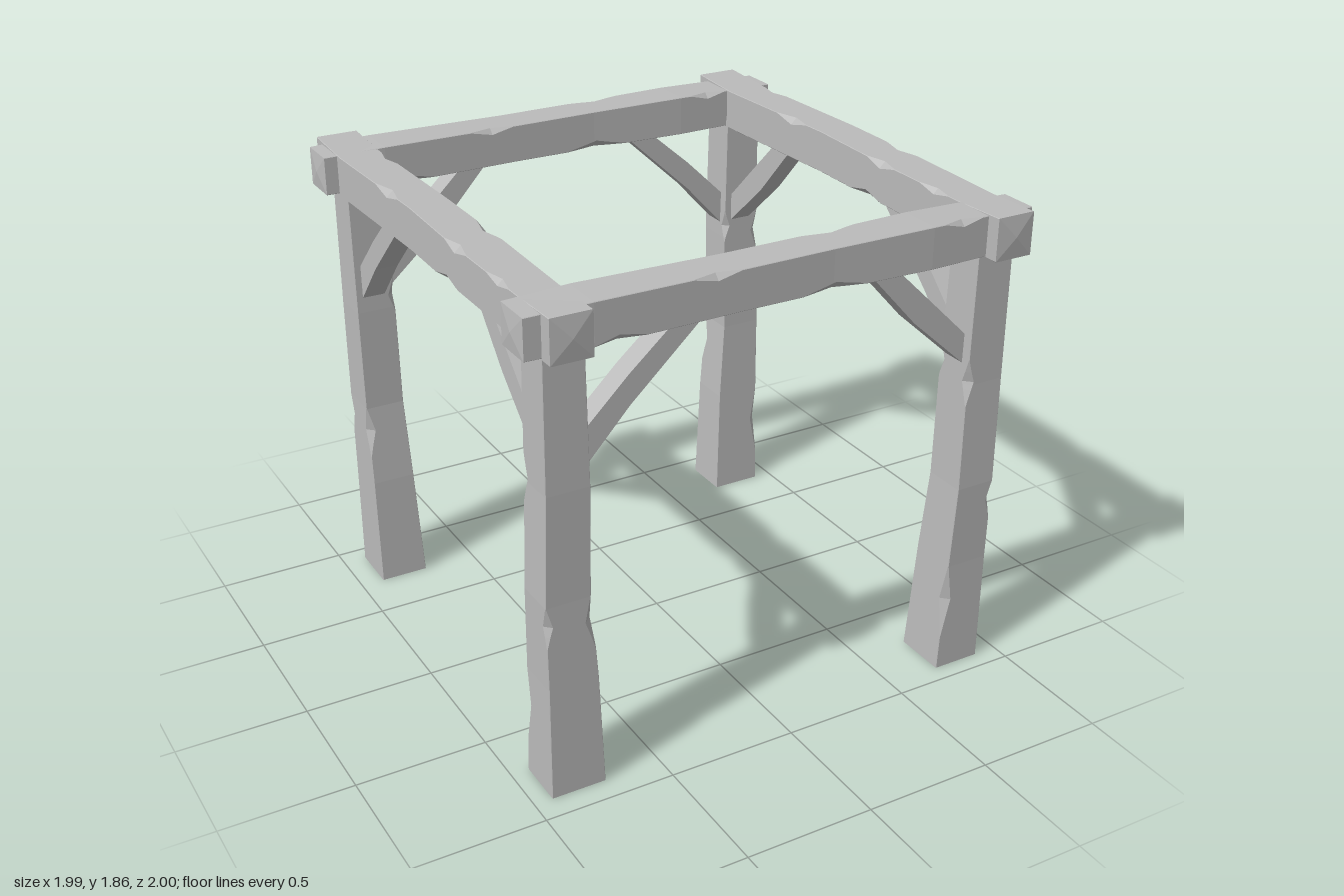
import * as THREE from 'three';

const wood = new THREE.MeshStandardMaterial({ color: 0xbbbbbb });
wood.name = 'plain timber';

// Hewn timber: rectangular sections [t, u0, u1, v0, v1] along an axis,
// with chips [t, corner, size, halfLength] cut out of its long edges.
// Axis order (t, u, v) is cyclic: x = xyz, y = yzx, z = zxy.
function timber(name, axis, profile, chips, bulge = 0) {
  const ts = profile.map(p => p[0]);
  for (const [t, , , h] of chips) ts.push(t - h, t - h * 0.15, t, t + h);
  ts.sort((a, b) => a - b);
  const place = (t, u, v) => axis === 'x' ? [t, u, v] : axis === 'y' ? [v, t, u] : [u, v, t];

  const sectionAt = t => {
    let k = 0;
    while (k < profile.length - 2 && t > profile[k + 1][0]) k++;
    const a = profile[k], b = profile[k + 1];
    const f = (t - a[0]) / (b[0] - a[0]);
    const [u0, u1, v0, v1] = [1, 2, 3, 4].map(i => a[i] + (b[i] - a[i]) * f);
    const c = [0, 1, 2, 3].map(corner => chips.reduce((m, [ct, cc, size, h]) =>
      cc === corner ? Math.max(m, size * (1 - Math.abs(t - ct) / h)) : m, 0.002));
    return [
      [u0, v0 + c[0]], [u0 + c[0], v0], [u1 - c[1], v0], [u1, v0 + c[1]],
      [u1, v1 - c[2]], [u1 - c[2], v1], [u0 + c[3], v1], [u0, v1 - c[3]],
    ].map(([u, v]) => place(t, u, v));
  };

  const rings = ts.map(sectionAt), pos = [];
  const tri = (a, b, c) => pos.push(...a, ...b, ...c);
  for (let i = 0; i < rings.length - 1; i++) {
    if (ts[i + 1] - ts[i] < 1e-6) continue;
    for (let j = 0; j < 8; j++) {
      const k = (j + 1) % 8;
      tri(rings[i][j], rings[i][k], rings[i + 1][k]);
      tri(rings[i][j], rings[i + 1][k], rings[i + 1][j]);
    }
  }
  // end grain, slightly pointed when bulge > 0
  const tip = (p, d) => place(p[0] + d, (p[1] + p[2]) / 2, (p[3] + p[4]) / 2);
  const start = tip(profile[0], -bulge), end = tip(profile[profile.length - 1], bulge);
  const last = rings[rings.length - 1];
  for (let j = 0; j < 8; j++) {
    const k = (j + 1) % 8;
    tri(start, rings[0][k], rings[0][j]);
    tri(end, last[j], last[k]);
  }
  const geo = new THREE.BufferGeometry();
  geo.setAttribute('position', new THREE.Float32BufferAttribute(pos, 3));
  geo.computeVertexNormals();
  const mesh = new THREE.Mesh(geo, wood);
  mesh.name = name;
  return mesh;
}

// Diagonal brace: flat outline given thickness under the beam
function brace(name, points) {
  const shape = new THREE.Shape(points.map(p => new THREE.Vector2(...p)));
  const geo = new THREE.ExtrudeGeometry(shape, { depth: 0.09, bevelEnabled: false });
  geo.translate(0, 0, 0.795);
  const mesh = new THREE.Mesh(geo, wood);
  mesh.name = name;
  return mesh;
}

export function createModel() {
  const model = new THREE.Group();
  model.name = 'timberFrame';

  // Four corners: flared post and the two braces of one side
  for (let i = 0; i < 4; i++) {
    const corner = new THREE.Group();
    corner.name = 'corner' + (i + 1);
    corner.add(timber('post', 'y', [
      [0, 0.715, 0.907, -0.93, -0.72],
      [0.45, 0.735, 0.907, -0.93, -0.74],
      [0.78, 0.748, 0.907, -0.935, -0.765],
      [1.2, 0.755, 0.912, -0.925, -0.762],
      [1.72, 0.762, 0.912, -0.923, -0.773],
    ], [
      [0.3, 0, 0.03, 0.16],
      [0.68, 2, 0.03, 0.11],
      [0.7, 1, 0.025, 0.08],
      [1.21, 0, 0.03, 0.09],
      [1.25, 3, 0.025, 0.07],
    ]));
    corner.add(brace('leftBrace', [
      [-0.79, 1.24], [-0.765, 1.26], [-0.6, 1.44], [-0.32, 1.7], [-0.3, 1.72],
      [-0.41, 1.72], [-0.6, 1.555], [-0.765, 1.395], [-0.79, 1.37],
    ]));
    corner.add(brace('rightBrace', [
      [0.79, 1.25], [0.79, 1.36], [0.6, 1.545], [0.44, 1.7], [0.42, 1.72],
      [0.31, 1.72], [0.33, 1.7], [0.53, 1.48], [0.76, 1.275],
    ]));
    corner.rotation.y = i * Math.PI / 2;
    model.add(corner);
  }

  // Beams across the front and back
  for (const [name, z] of [['frontBeam', 0], ['backBeam', -1.703]]) {
    const beam = timber(name, 'x', [
      [-0.99, 1.698, 1.845, 0.77, 0.925],
      [-0.75, 1.698, 1.852, 0.765, 0.935],
      [-0.2, 1.7, 1.847, 0.773, 0.927],
      [0.15, 1.698, 1.848, 0.773, 0.925],
      [0.55, 1.695, 1.85, 0.765, 0.934],
      [0.98, 1.697, 1.843, 0.775, 0.925],
    ], [
      [-0.66, 3, 0.025, 0.1],
      [-0.3, 2, 0.022, 0.09],
      [0.16, 3, 0.03, 0.13],
      [0.22, 1, 0.025, 0.11],
      [0.68, 2, 0.022, 0.08],
    ], 0.008);
    beam.position.z = z;
    model.add(beam);
  }

  // Beams along the two sides, lapped over the others
  for (const [name, x] of [['rightBeam', 0], ['leftBeam', 1.715]]) {
    const beam = timber(name, 'z', [
      [-0.99, -0.94, -0.778, 1.693, 1.86],
      [-0.75, -0.94, -0.778, 1.69, 1.848],
      [-0.1, -0.93, -0.775, 1.698, 1.858],
      [0.3, -0.937, -0.77, 1.698, 1.853],
      [0.75, -0.928, -0.772, 1.687, 1.845],
      [0.985, -0.93, -0.778, 1.693, 1.854],
    ], [
      [-0.3, 3, 0.025, 0.1],
      [0.22, 2, 0.025, 0.1],
      [0.3, 3, 0.025, 0.09],
      [0.22, 0, 0.025, 0.1],
      [-0.65, 2, 0.02, 0.08],
      [0.62, 3, 0.02, 0.08],
    ], 0.01);
    beam.position.x = x;
    model.add(beam);
  }
  return model;
}
